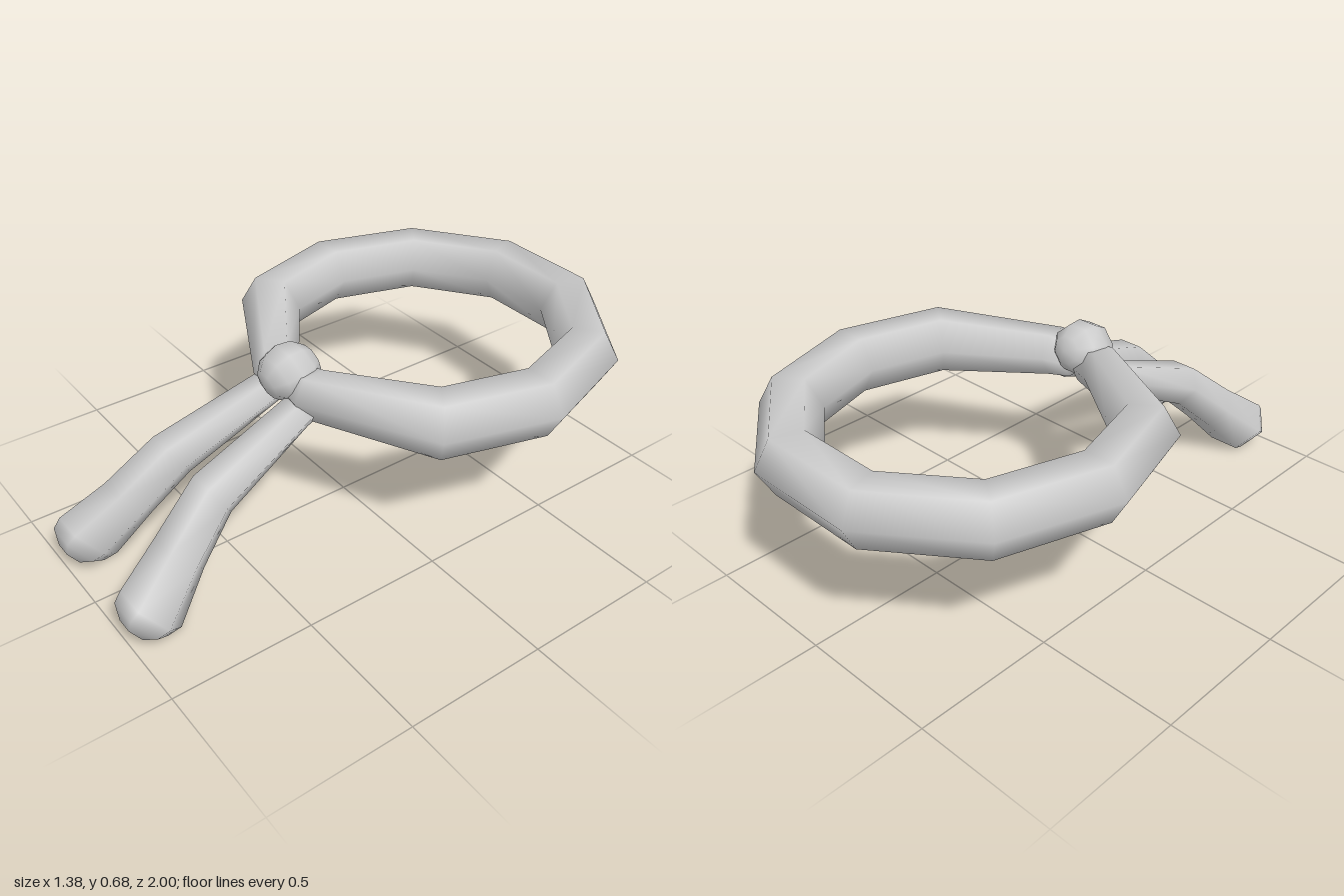
import * as THREE from 'three';

const SIDES = 6;

// Skins hexagonal cross-sections; each has a centre c, a half-width u and a half-height v
function loft(sections, material) {
  const pos = [], idx = [], n = sections.length;
  for (const { c, u, v } of sections) {
    for (let j = 0; j < SIDES; j++) {
      const a = (j / SIDES) * Math.PI * 2;
      const p = c.clone()
        .addScaledVector(u, Math.cos(a))
        .addScaledVector(v, Math.sin(a) / Math.sin(Math.PI / 3));
      pos.push(p.x, p.y, p.z);
    }
  }
  for (let i = 0; i < n - 1; i++) {
    for (let j = 0; j < SIDES; j++) {
      const k = (j + 1) % SIDES;
      const a = i * SIDES + j, b = i * SIDES + k;
      idx.push(a, b, b + SIDES, a, b + SIDES, a + SIDES);
    }
  }
  // end caps
  const last = (n - 1) * SIDES;
  for (let j = 1; j < SIDES - 1; j++) {
    idx.push(0, j + 1, j, last, last + j, last + j + 1);
  }
  const g = new THREE.BufferGeometry();
  g.setAttribute('position', new THREE.Float32BufferAttribute(pos, 3));
  g.setIndex(idx);
  g.computeVertexNormals();
  return new THREE.Mesh(g, material);
}

const V = (x, y, z) => new THREE.Vector3(x, y, z);

export function createModel() {
  const group = new THREE.Group();
  const material = new THREE.MeshStandardMaterial({ color: 0xcccccc });

  // Neck loop: outer x, z / inner x, z / half-height, from the back to the knot
  const half = [
    [0.21, -1.0, 0.145, -0.79, 0.1],
    [0.555, -0.75, 0.375, -0.62, 0.1],
    [0.688, -0.35, 0.46, -0.35, 0.1],
    [0.57, 0.045, 0.388, -0.09, 0.1],
    [0.12, 0.285, 0.1, 0.115, 0.076],
    [0.02, 0.27, 0.02, 0.14, 0.06],
  ];
  const section = (s) => ([ox, oz, ix, iz, h]) => ({
    c: V(s * (ox + ix) / 2, 0.55, (oz + iz) / 2),
    u: V(s * (ox - ix) / 2, 0, (oz - iz) / 2),
    v: V(0, h, 0),
  });
  const loop = loft([...half.map(section(-1)).reverse(), ...half.map(section(1))], material);
  loop.name = 'neckLoop';
  group.add(loop);

  // Knot
  const knot = new THREE.Mesh(new THREE.SphereGeometry(0.107, 8, 6), material);
  knot.name = 'knot';
  knot.geometry.rotateY(Math.PI / 8);
  knot.geometry.rotateX(Math.PI / 2 + 0.25);
  knot.scale.set(1, 0.92, 0.98);
  knot.position.set(0, 0.592, 0.222);
  group.add(knot);

  // Hanging tails: centre x, y, z / half-width / half-height vector y, z
  const tail = [
    [0.085, 0.515, 0.2, 0.068, 0.042, 0.02],
    [0.09, 0.495, 0.26, 0.07, 0.045, 0.02],
    [0.13, 0.35, 0.612, 0.092, 0.06, 0.038],
    [0.17, 0.215, 0.765, 0.1, 0.055, 0.055],
    [0.217, 0.09, 0.905, 0.118, 0.07, 0.068],
    [0.218, 0.068, 0.942, 0.105, 0.063, 0.058],
    [0.218, 0.047, 0.972, 0.06, 0.028, 0.028],
  ];
  for (const [s, name] of [[1, 'leftTail'], [-1, 'rightTail']]) {
    const mesh = loft(tail.map(([x, y, z, w, vy, vz]) => ({
      c: V(s * x, y, z), u: V(w, 0, 0), v: V(0, vy, vz),
    })), material);
    mesh.name = name;
    group.add(mesh);
  }
  return group;
}
